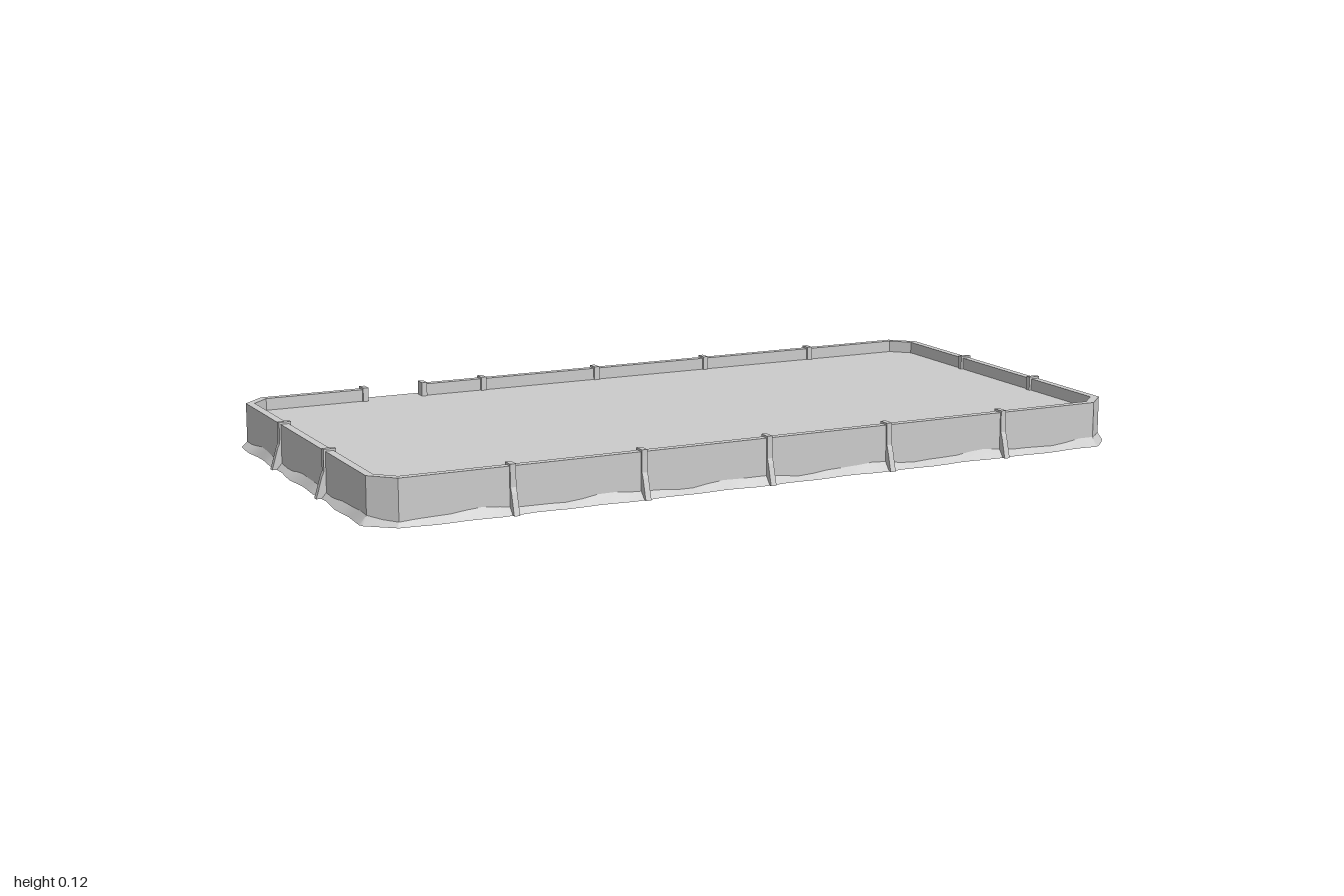
import * as THREE from 'three';

const X = 0.975, ZB = -0.415, ZF = 0.565; // outer wall limits
const THICK = 0.02, TOP = 0.11, FLOOR = 0.08;
const GAP = [-0.65, -0.49];               // opening for the stairs in the back wall

const solid = new THREE.MeshStandardMaterial({ color: 0xcccccc });
const thin = new THREE.MeshStandardMaterial({ color: 0xcccccc, side: THREE.DoubleSide });

// Chamfered rectangle as (x, z) points, starting on the back edge, inset by d
function outline(d) {
  const c = 0.055 - d * 0.586, x = X - d, b = ZB + d, f = ZF - d;
  return [[x - c, b], [x, b + c], [x, f - c], [x - c, f],
    [-x + c, f], [-x, f - c], [-x, b + c], [-x + c, b]].map(p => new THREE.Vector2(...p));
}

// Horizontal slab hanging down from the given top height
function slab(shape, top, depth) {
  return new THREE.ExtrudeGeometry(shape, { depth, bevelEnabled: false })
    .rotateX(Math.PI / 2).translate(0, top, 0);
}

// Strip of quads between two equally long rows of points
function ribbon(a, b) {
  const index = [];
  for (let i = 0; i < a.length - 1; i++) {
    const n = a.length + i;
    index.push(i, n, i + 1, i + 1, n, n + 1);
  }
  const geo = new THREE.BufferGeometry().setFromPoints([...a, ...b]);
  geo.setIndex(index);
  geo.computeVertexNormals();
  return geo;
}

// Wavy bank of earth leaning against the foot of the wall
function bankGeometry() {
  const upper = [], lower = [], pts = outline(0);
  let s = 0;
  pts.forEach((p, i) => {
    const q = pts[(i + 1) % pts.length], len = p.distanceTo(q);
    const nx = (q.y - p.y) / len, nz = -(q.x - p.x) / len;
    const n = Math.max(2, Math.round(len / 0.04));
    for (let k = 0; k <= n; k++) {
      const c = p.clone().lerp(q, k / n), t = s + len * k / n;
      const w = 0.015 + 0.003 * Math.sin(t * 39) + 0.002 * Math.sin(t * 17);
      const h = 0.017 + 0.005 * Math.sin(t * 19 + 1) + 0.002 * Math.sin(t * 43);
      upper.push(new THREE.Vector3(c.x, h, c.y));
      lower.push(new THREE.Vector3(c.x + nx * w, 0, c.y + nz * w));
    }
    s += len;
  });
  upper.push(upper[0].clone());
  lower.push(lower[0].clone());
  return ribbon(lower, upper);
}

// Buttress profile: x points outwards from the wall face, y up
function buttressGeometry() {
  const profile = [[-0.026, 0], [0.025, 0], [0.021, 0.012], [0.01, 0.05], [0.005, 0.062],
    [0.004, 0.1], [0.004, 0.115], [-0.026, 0.115]].map(p => new THREE.Vector2(...p));
  return new THREE.ExtrudeGeometry(new THREE.Shape(profile), { depth: 0.014, bevelEnabled: false })
    .translate(0, 0, -0.007);
}

export function createModel() {
  const group = new THREE.Group();
  const add = (name, geo, mat = solid) => {
    const mesh = new THREE.Mesh(geo, mat);
    mesh.name = name;
    group.add(mesh);
    return mesh;
  };

  // Floor and the wall that carries it
  const outer = outline(0), inner = outline(THICK);
  add('floor', slab(new THREE.Shape(outline(THICK / 2)), FLOOR, 0.004));
  const ring = new THREE.Shape(outer);
  ring.holes.push(new THREE.Path(inner));
  add('baseWall', slab(ring, FLOOR, FLOOR));

  // Parapet, open at the stairs
  const v = (x, z) => new THREE.Vector2(x, z);
  const parapet = [v(GAP[1], ZB), ...outer, v(GAP[0], ZB),
    v(GAP[0], ZB + THICK), ...inner.slice().reverse(), v(GAP[1], ZB + THICK)];
  add('parapet', slab(new THREE.Shape(parapet), TOP, TOP - FLOOR));

  add('earthBank', bankGeometry(), thin);

  // Buttresses straddling the wall on all four sides
  const geo = buttressGeometry();
  const buttress = (x, z, turn) => {
    const mesh = add('buttress', geo);
    mesh.position.set(x, 0, z);
    mesh.rotation.y = turn;
  };
  for (const x of [-0.65, -0.325, 0, 0.325, 0.65]) {
    buttress(x, ZF, -Math.PI / 2);
    buttress(x, ZB, Math.PI / 2);
  }
  buttress(GAP[1], ZB, Math.PI / 2);
  for (const z of [-0.09, 0.235]) {
    buttress(X, z, 0);
    buttress(-X, z, Math.PI);
  }

  // Stairs: a thin folded sheet of treads and risers
  const steps = 9, run = (0.59 + ZB) / steps, rise = FLOOR / steps;
  for (let i = 0; i < steps; i++) {
    const y = FLOOR - i * rise, z = ZB - i * run;
    const row = x => [v(z, y), v(z - run, y), v(z - run, y - rise)]
      .map(p => new THREE.Vector3(x, p.y, p.x));
    const step = ribbon(row(GAP[0]), row(GAP[1])).toNonIndexed();
    step.computeVertexNormals();
    add('stairStep', step, thin);
  }
  return group;
}
